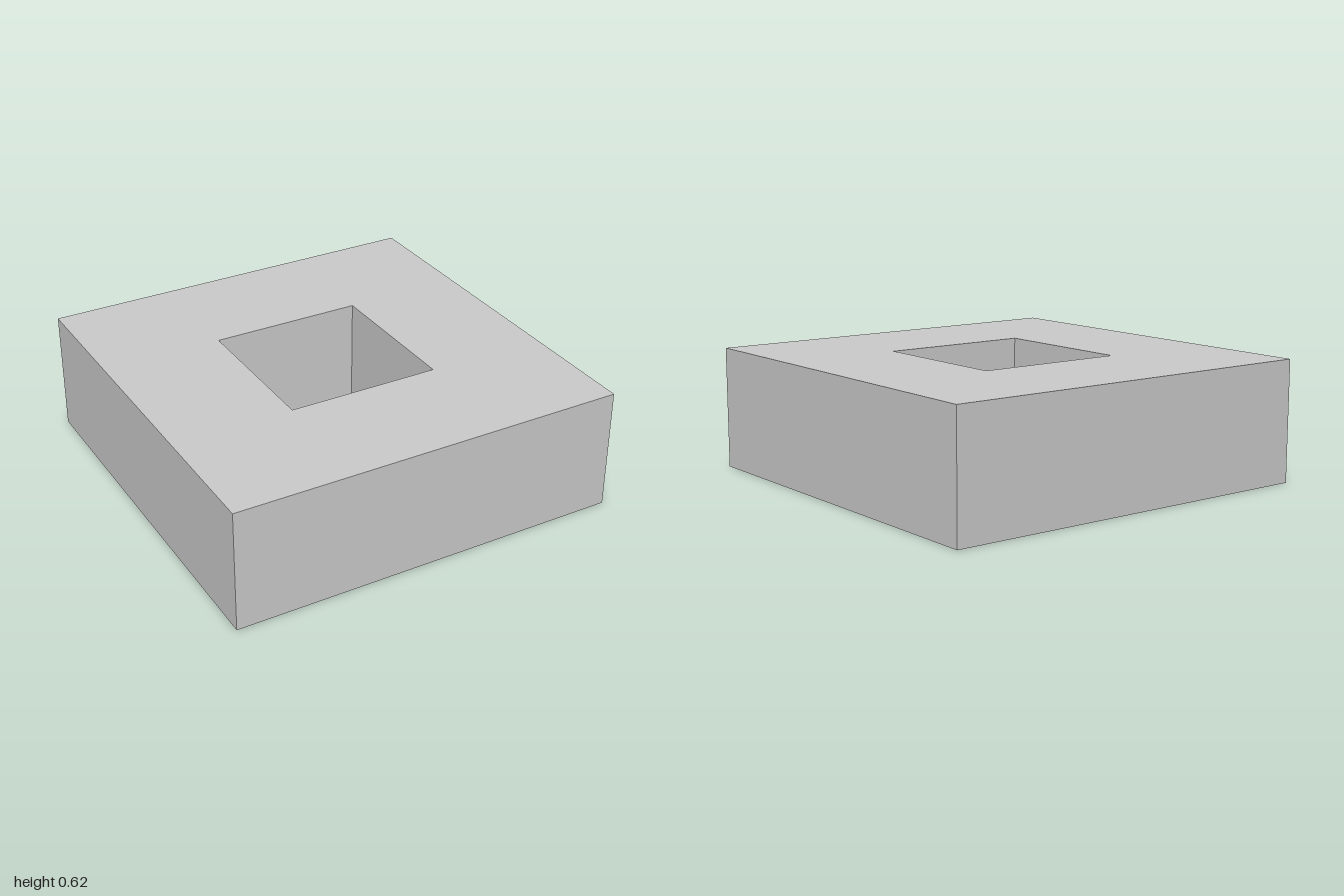
import * as THREE from 'three';

const HALF = 1;       // half width of the block
const HOLE = 0.386;   // half width of the square opening
const HEIGHT = 0.617;

// Corners of a centred square
const square = (h) => [[-h, -h], [h, -h], [h, h], [-h, h]].map(([x, y]) => new THREE.Vector2(x, y));

export function createModel() {
  const group = new THREE.Group();
  group.name = 'squareRing';

  // Square block with a square hole through it, laid flat on the ground
  const shape = new THREE.Shape(square(HALF));
  shape.holes.push(new THREE.Path(square(HOLE).reverse()));
  const geometry = new THREE.ExtrudeGeometry(shape, { depth: HEIGHT, bevelEnabled: false });
  geometry.rotateX(-Math.PI / 2);

  const block = new THREE.Mesh(geometry, new THREE.MeshStandardMaterial({ color: 0xcccccc, flatShading: true }));
  block.name = 'blockWithSquareHole';
  group.add(block);
  return group;
}
